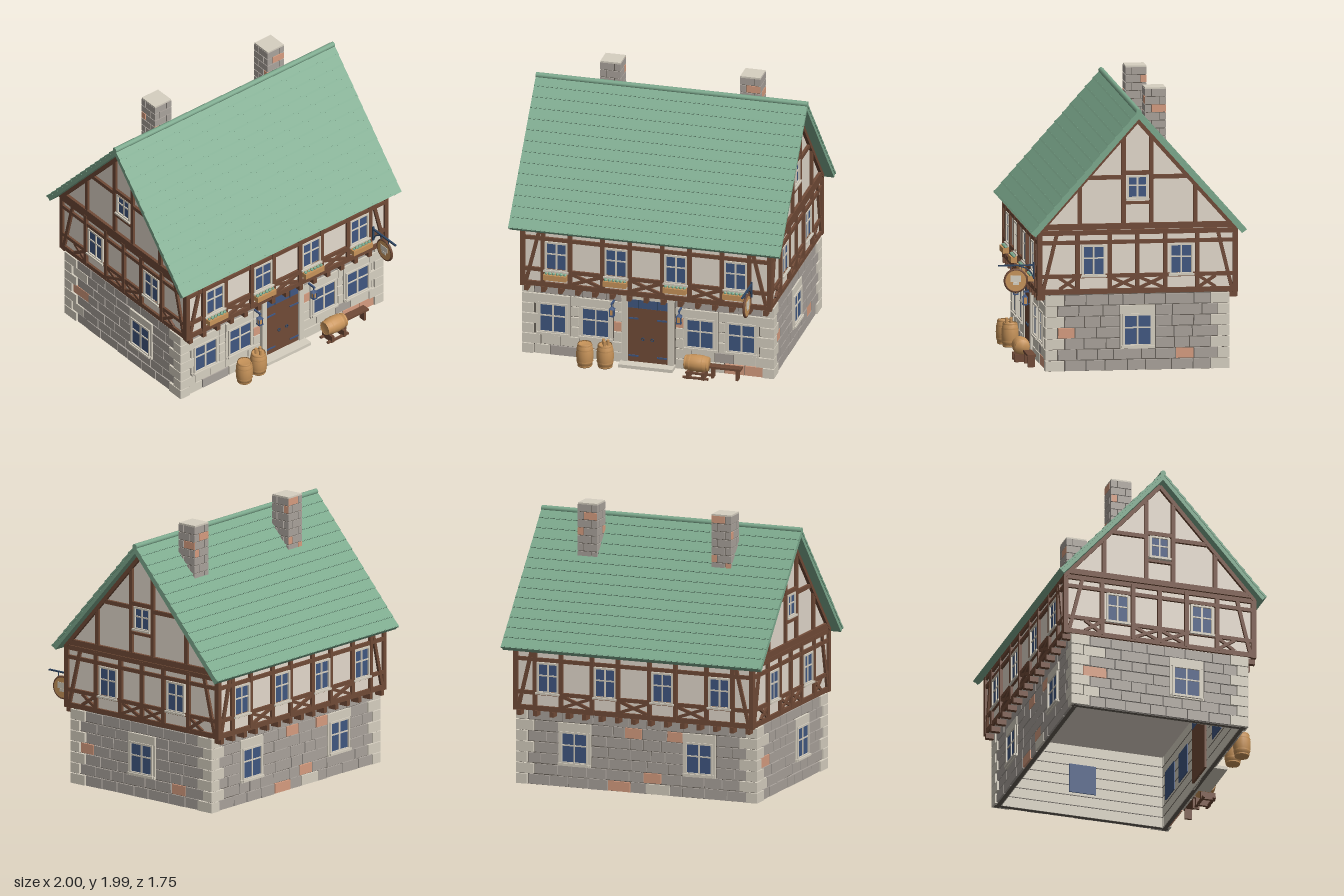
import * as THREE from 'three';

const material = (name, color) => Object.assign(new THREE.MeshStandardMaterial({ color }), { name });
const M = {
  roof: material('roof green', 0x7daa8e),
  plaster: material('plaster', 0xe4dacd),
  timber: material('dark timber', 0x714b37),
  stone: material('grey stone', 0xaaa39c),
  pale: material('pale stone', 0xd7d0c1),
  clay: material('terracotta stone', 0xd79d80),
  glass: material('blue glass', 0x405781),
  wood: material('light wood', 0xc8945a),
  mortar: material('mortar', 0x665f57),
  iron: material('iron', 0x2f4664),
};

let seed = 7;
const rand = () => (seed = (seed * 16807) % 2147483647) / 2147483647;

function add(parent, name, geo, mat, x = 0, y = 0, z = 0) {
  const m = new THREE.Mesh(geo, mat);
  m.name = name;
  m.position.set(x, y, z);
  parent.add(m);
  return m;
}
const box = (p, name, mat, w, h, d, x, y, z) => add(p, name, new THREE.BoxGeometry(w, h, d), mat, x, y, z);
const cyl = (p, name, mat, r, h, x, y, z, n = 16) => add(p, name, new THREE.CylinderGeometry(r, r, h, n), mat, x, y, z);
function group(p, name, x = 0, y = 0, z = 0, ry = 0) {
  const g = new THREE.Group();
  g.name = name;
  g.position.set(x, y, z);
  g.rotation.y = ry;
  p.add(g);
  return g;
}

// Timber from point to point on a facade
function beam(p, x1, y1, x2, y2, z, w = 0.03, d = 0.03) {
  const b = box(p, 'timberBeam', M.timber, Math.hypot(x2 - x1, y2 - y1), w, d, (x1 + x2) / 2, (y1 + y2) / 2, z + 0.005);
  b.rotation.z = Math.atan2(y2 - y1, x2 - x1);
}
function cross(p, x1, x2, z) {
  beam(p, x1, 0.59, x2, 0.67, z, 0.022, 0.026);
  beam(p, x1, 0.67, x2, 0.59, z, 0.022, 0.022);
}

// Glazing with a frame and two by two panes; back is the depth into the wall
function windowUnit(p, x, y0, y1, w, z, back = 0.02) {
  const g = group(p, 'window', x, (y0 + y1) / 2, z), h = y1 - y0;
  box(g, 'windowGlass', M.glass, w, h, back + 0.008, 0, 0, 0.004 - back / 2);
  for (const s of [-1, 1]) {
    box(g, 'windowFrameSide', M.pale, 0.014, h + 0.014, 0.03, s * w / 2, 0, 0.005);
    box(g, 'windowFrameRail', M.pale, w + 0.014, 0.014, 0.03, 0, s * h / 2, 0.005);
  }
  box(g, 'windowMullion', M.pale, 0.012, h, 0.012, 0, 0, 0.008);
  box(g, 'windowCrossbar', M.pale, w, 0.01, 0.012, 0, h * 0.08, 0.008);
  box(g, 'windowSill', M.pale, w + 0.03, 0.014, 0.04, 0, -h / 2 - 0.008, 0.01);
}

// Coursed stones on a side, leaving out the openings [u0, u1, v0, v1]
function stoneWall(p, { half, f, pale, odd, clay }, openings) {
  const rows = 7, rh = 0.55 / rows;
  for (let r = 0; r < rows; r++) {
    const y = (r + 0.5) * rh, q = (r + odd) % 2 ? 0.13 : 0.08;
    const share = r === rows - 1 ? pale * 0.2 : pale;
    for (const s of [-1, 1])
      box(p, 'quoin', M.pale, q, rh - 0.006, 0.06, s * (half - q / 2), y, f - 0.007);
    let start = -half + q + 0.006;
    const stops = openings.filter(o => o[2] < y && o[3] > y).sort((a, b) => a[0] - b[0]);
    for (const o of [...stops, [half - q, half - q]]) {
      const span = o[0] - start, n = Math.max(1, Math.round(span / 0.15));
      if (span > 0.015) {
        const cuts = [0];
        for (let i = 1; i < n; i++) cuts.push((i + (rand() - 0.5) * 0.55) / n);
        cuts.push(1);
        for (let i = 0; i < n; i++) {
          const w = (cuts[i + 1] - cuts[i]) * span, x = start + cuts[i] * span + w / 2;
          const isClay = clay.some(c => Math.abs(c[0] - x) <= w / 2 && Math.abs(c[1] - y) <= rh / 2);
          const mat = isClay ? M.clay : rand() < share ? M.pale : M.stone;
          const b = box(p, 'stone', mat, w - 0.007, rh - 0.004 - rand() * 0.006, 0.022 + rand() * 0.012, x, y, f);
          b.rotation.z = (rand() - 0.5) * 0.025;
        }
      }
      start = o[1] + 0.004;
    }
  }
}

// One side of the house: stone ground floor below, timber frame above
function facade(house, name, ry, o) {
  const g = group(house, name, 0, 0, -0.095, ry), { f, half, up, upHalf } = o;
  box(g, 'wallCore', M.mortar, 2 * half - 0.02, 0.55, 0.03, 0, 0.275, f - 0.015);
  box(g, 'wallLining', M.pale, 2 * half - 0.06, 0.548, 0.006, 0, 0.274, f - 0.033);
  for (let r = 1; r < 7; r++) box(g, 'innerJoint', M.mortar, 2 * half - 0.06, 0.006, 0.002, 0, r * 0.0786, f - 0.037);
  const holes = o.ground.map(u => [u - 0.125, u + 0.125, 0.157, 0.471]);
  if (o.door) holes.push([-0.195, 0.195, -1, 0.56]);
  stoneWall(g, o, holes);
  for (const u of o.ground) {
    windowUnit(g, u, 0.18, 0.4, 0.2, f + 0.008, 0.052);
    for (const s of [-1, 1]) box(g, 'windowJamb', M.pale, 0.022, 0.24, 0.035, u + s * 0.113, 0.285, f);
    box(g, 'windowLintel', M.pale, 0.25, 0.062, 0.04, u, 0.437, f);
    box(g, 'windowStoneSill', M.pale, 0.25, 0.02, 0.05, u, 0.167, f);
  }
  for (const u of o.upper) windowUnit(g, u, 0.69, 0.9, 0.155, up);
  // Horizontal rails, posts, corner braces and crosses
  for (const [y, w] of [[0.572, 0.036], [0.683, 0.028], [0.925, 0.028], [0.995, 0.034]])
    beam(g, -upHalf - 0.015, y, upHalf + 0.015, y, up - 0.003, w);
  for (const u of o.posts) beam(g, u, 0.57, u, 1, up);
  for (const s of [-1, 1]) {
    beam(g, s * upHalf, 0.55, s * upHalf, 1, up, 0.032);
    beam(g, s * (upHalf - 0.025), 0.59, s * (upHalf - 0.12), 0.98, up, 0.025, 0.026);
  }
  for (const [a, b] of o.crosses) cross(g, a, b, up);
  return g;
}

function gable(g, z) {
  beam(g, -0.71, 1.038, 0.71, 1.038, z, 0.042, 0.034);
  for (const s of [-1, 1]) {
    beam(g, s * 0.715, 0.998, 0, 1.8, z, 0.036, 0.036);
    beam(g, s * 0.1, 1.05, s * 0.1, 1.69, z);
    beam(g, s * 0.415, 1.05, s * 0.415, 1.34, z);
    beam(g, s * 0.1, 1.39, s * 0.37, 1.39, z);
  }
  beam(g, -0.1, 1.42, 0.1, 1.42, z);
  beam(g, -0.1, 1.205, 0.1, 1.205, z, 0.02);
  windowUnit(g, 0, 1.24, 1.395, 0.135, z);
}

function roof(house) {
  const run = 0.765, drop = 0.863, L = Math.hypot(run, drop), n = 14, step = L / n;
  for (const [name, ry] of [['frontRoof', 0], ['backRoof', Math.PI]]) {
    const slope = group(group(house, name, 0, 1.865, -0.095, ry), 'roofSlope');
    slope.rotation.x = Math.atan2(drop, run);
    box(slope, 'roofDeck', M.roof, 1.99, 0.032, L, 0, -0.016, L / 2);
    for (let i = 0; i < n; i++) {
      box(slope, 'shingleRow', M.roof, 2, 0.014, step + 0.004, 0, 0.002, (i + 0.5) * step).rotation.x = -0.06;
      box(slope, 'shingleLip', M.roof, 1.996, 0.01, 0.012, 0, 0.008, (i + 1) * step - 0.008);
    }
  }
  cyl(house, 'roofRidge', M.roof, 0.02, 2, 0, 1.868, -0.095, 10).rotation.z = Math.PI / 2;
}

function chimney(house, x) {
  const g = group(house, 'chimney', x, 0, -0.265);
  box(g, 'chimneyCore', M.mortar, 0.138, 0.45, 0.138, 0, 1.745, 0);
  for (let r = 0; r < 8; r++) {
    const y = 1.55 + r * 0.057;
    for (let k = 0; k < 4; k++) {
      const side = group(g, 'chimneySide', 0, y, 0, k * Math.PI / 2);
      const cut = (r + k) % 2 ? 0.03 : -0.03;
      for (const [a, b] of [[-0.075, cut - 0.003], [cut + 0.003, 0.075]])
        box(side, 'chimneyStone', rand() < 0.1 ? M.clay : M.stone, b - a, 0.051, 0.02, (a + b) / 2, 0, 0.066);
    }
  }
  box(g, 'chimneyCap', M.pale, 0.148, 0.012, 0.148, 0, 1.98, 0);
}

function barrel(p, x, y, z) {
  const g = group(p, 'barrel', x, y, z);
  const profile = [[0, -0.088], [0.05, -0.088], [0.059, -0.045], [0.063, 0], [0.059, 0.045], [0.05, 0.088], [0.045, 0.08], [0, 0.08]];
  add(g, 'barrelStaves', new THREE.LatheGeometry(profile.map(q => new THREE.Vector2(...q)), 18), M.wood);
  for (const s of [-1, 1]) for (const [h, r] of [[0.045, 0.0605], [0.078, 0.0535]])
    add(g, 'barrelHoop', new THREE.CylinderGeometry(r, r, 0.009, 18, 1, true), M.wood, 0, s * h, 0);
  return g;
}

function lantern(p, x) {
  const g = group(p, 'lantern', x, 0, 0.62);
  box(g, 'lanternArm', M.glass, 0.012, 0.012, 0.07, 0, 0.478, -0.025);
  box(g, 'lanternHanger', M.glass, 0.008, 0.04, 0.008, 0, 0.462, 0);
  add(g, 'lanternRoof', new THREE.ConeGeometry(0.03, 0.024, 4), M.glass, 0, 0.448, 0).rotation.y = Math.PI / 4;
  box(g, 'lanternLight', M.wood, 0.026, 0.046, 0.026, 0, 0.412, 0);
  for (const a of [-1, 1]) for (const b of [-1, 1]) box(g, 'lanternCorner', M.glass, 0.007, 0.048, 0.007, a * 0.014, 0.412, b * 0.014);
  box(g, 'lanternBase', M.glass, 0.036, 0.01, 0.036, 0, 0.386, 0);
}

function hangingSign(p) {
  const g = group(p, 'hangingSign', 0.78, 0, 0);
  box(g, 'signWallBar', M.iron, 0.014, 0.12, 0.008, 0, 0.71, 0.63);
  box(g, 'signArm', M.iron, 0.014, 0.01, 0.26, 0, 0.75, 0.755);
  const curve = new THREE.QuadraticBezierCurve3(new THREE.Vector3(0, 0.66, 0.635), new THREE.Vector3(0, 0.73, 0.65), new THREE.Vector3(0, 0.745, 0.74));
  add(g, 'signBrace', new THREE.TubeGeometry(curve, 10, 0.005, 6), M.iron);
  for (const z of [0.72, 0.8]) box(g, 'signChain', M.iron, 0.005, 0.04, 0.005, 0, 0.73, z);
  cyl(g, 'signBoard', M.wood, 0.08, 0.016, 0, 0.64, 0.76, 28).rotation.z = Math.PI / 2;
  add(g, 'signRim', new THREE.TorusGeometry(0.078, 0.0095, 8, 28), M.timber, 0, 0.64, 0.76).rotation.y = Math.PI / 2;
  for (const s of [-1, 1]) {
    box(g, 'signPlate', M.pale, 0.005, 0.045, 0.075, s * 0.009, 0.655, 0.76);
    box(g, 'signBar', M.pale, 0.005, 0.02, 0.045, s * 0.009, 0.62, 0.76);
  }
}

function door(p) {
  const g = group(p, 'entrance', 0, 0, 0.55);
  for (const s of [-1, 1]) {
    box(g, 'doorLeaf', M.timber, 0.144, 0.415, 0.075, s * 0.0725, 0.232, -0.022);
    box(g, 'doorJamb', M.pale, 0.042, 0.52, 0.07, s * 0.169, 0.26, -0.01);
    for (const y of [0.07, 0.36]) box(g, 'doorHinge', M.glass, 0.075, 0.012, 0.006, s * 0.105, y, 0.018);
    add(g, 'doorHandle', new THREE.TorusGeometry(0.01, 0.004, 6, 12), M.iron, s * 0.035, 0.205, 0.022);
  }
  box(g, 'transom', M.glass, 0.29, 0.07, 0.075, 0, 0.475, -0.022);
  for (const x of [-0.07, 0.07]) box(g, 'transomBar', M.iron, 0.006, 0.07, 0.006, x, 0.475, 0.016);
  box(g, 'doorLintel', M.pale, 0.39, 0.035, 0.07, 0, 0.527, -0.01);
  box(g, 'doorStep', M.pale, 0.4, 0.024, 0.13, 0, 0.012, 0.03);
}

export function createModel() {
  const house = new THREE.Group();
  house.name = 'timberFramedHouse';

  // Plastered upper storey and gables
  const s = new THREE.Shape([[-0.7, 0.552], [0.7, 0.552], [0.7, 1.03], [0, 1.82], [-0.7, 1.03]].map(q => new THREE.Vector2(...q)));
  const body = new THREE.ExtrudeGeometry(s, { depth: 1.81, bevelEnabled: false }).translate(0, 0, -0.905).rotateY(Math.PI / 2);
  add(house, 'upperWalls', body, M.plaster, 0, 0, -0.095);

  // Four sides
  const long = {
    f: 0.638, half: 0.925, up: 0.7, upHalf: 0.908, odd: 0, upper: [-0.66, -0.22, 0.22, 0.66],
    posts: [-0.76, -0.56, -0.32, -0.12, 0.12, 0.32, 0.56, 0.76], crosses: [[-0.55, -0.33], [-0.11, 0.11], [0.33, 0.55]],
  };
  const short = {
    f: 0.905, half: 0.658, up: 0.905, upHalf: 0.7, pale: 0.02, odd: 1, upper: [-0.315, 0.315],
    posts: [-0.43, -0.2, 0, 0.2, 0.43], crosses: [[-0.19, -0.01], [0.01, 0.19], [-0.56, -0.44], [0.44, 0.56]],
  };
  const front = facade(house, 'frontSide', 0, {
    ...long, ground: [-0.7, -0.385, 0.385, 0.69], pale: 0.75, door: true,
    clay: [[-0.225, 0.28], [0.225, 0.36], [0.66, 0.04], [0.74, 0.04]],
  });
  const back = facade(house, 'backSide', Math.PI, {
    ...long, ground: [-0.48, 0.48], pale: 0.02, clay: [[-0.02, 0.43], [0.3, 0.43], [-0.22, 0.04], [0.07, 0.12]],
  });
  gable(facade(house, 'leftSide', Math.PI / 2, { ...short, ground: [0], clay: [[-0.465, 0.25], [0.355, 0.11]] }), 0.905);
  gable(facade(house, 'rightSide', -Math.PI / 2, { ...short, ground: [0.2], clay: [[-0.46, 0.28]] }), 0.905);

  // Joist ends under the overhang
  for (const g of [front, back])
    for (let i = 0; i < 15; i++) box(g, 'joistEnd', M.timber, 0.032, 0.04, 0.09, -0.882 + i * 0.126, 0.533, 0.675);

  roof(house);
  for (const x of [-0.48, 0.55]) chimney(house, x);
  door(house);
  for (const x of [-0.25, 0.245]) lantern(house, x);
  hangingSign(house);

  // Flower boxes
  for (const x of long.upper) {
    const g = group(house, 'flowerBox', x, 0.645, 0.645);
    box(g, 'planter', M.wood, 0.17, 0.04, 0.045, 0, 0, 0);
    for (let i = 0; i < 6; i++)
      add(g, 'leaves', new THREE.IcosahedronGeometry(0.011 + rand() * 0.005), M.roof, -0.07 + i * 0.028, 0.025, 0);
  }

  // Barrels, mugs, cradle and bench
  barrel(house, -0.435, 0.088, 0.675);
  barrel(house, -0.29, 0.088, 0.655);
  for (const [x, z] of [[-0.305, 0.645], [-0.27, 0.65], [-0.29, 0.68]]) cyl(house, 'mug', M.wood, 0.011, 0.04, x, 0.188, z, 10);
  barrel(house, 0.39, 0.112, 0.67).rotation.z = Math.PI / 2;
  for (const x of [0.335, 0.445]) box(house, 'barrelCradle', M.timber, 0.022, 0.055, 0.11, x, 0.032, 0.67);
  for (const z of [0.63, 0.71]) box(house, 'cradleRunner', M.timber, 0.19, 0.014, 0.018, 0.39, 0.012, z);
  box(house, 'benchSeat', M.timber, 0.24, 0.016, 0.06, 0.59, 0.085, 0.635);
  for (const x of [0.5, 0.68]) box(house, 'benchLeg', M.timber, 0.018, 0.08, 0.05, x, 0.04, 0.635);

  return house;
}
